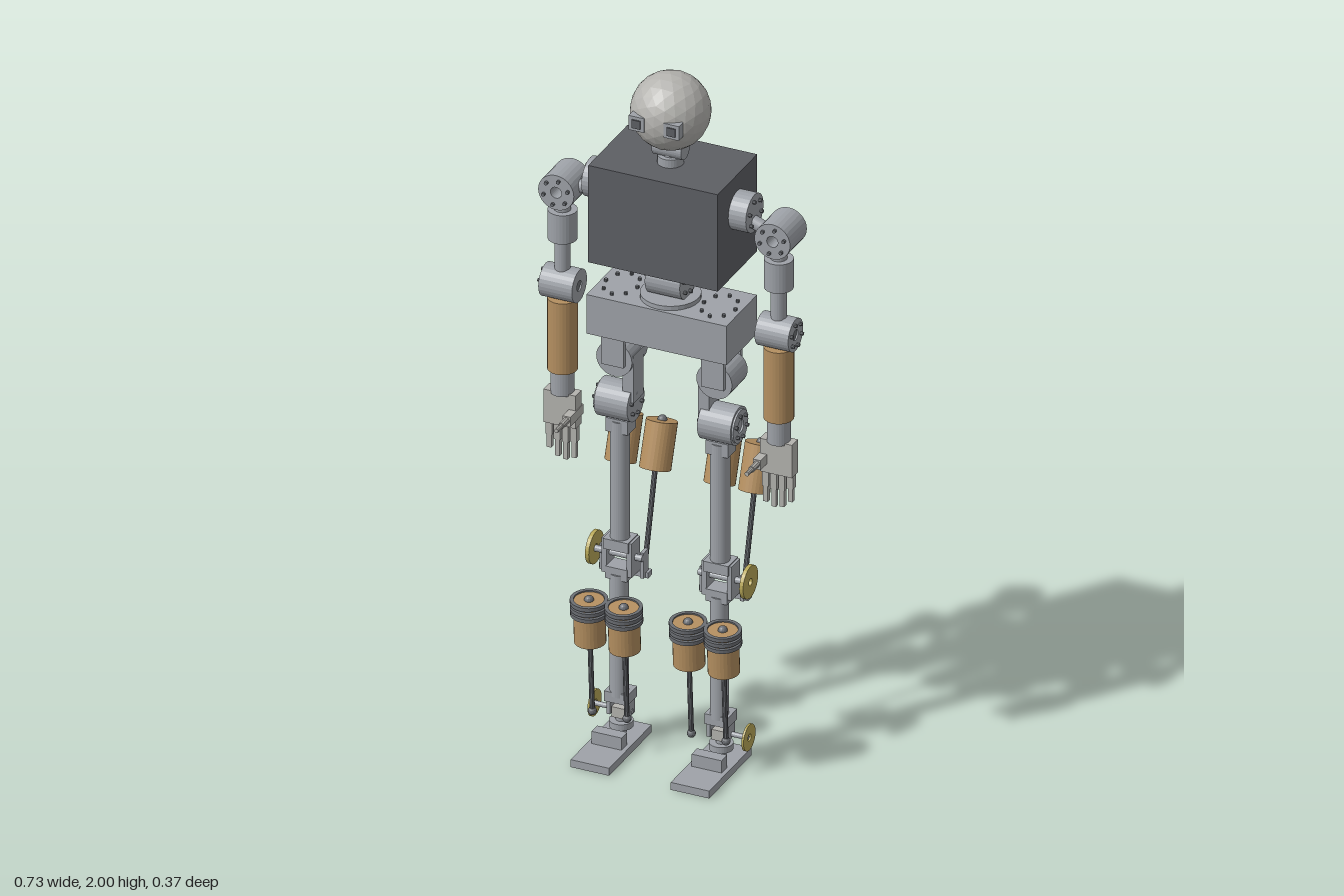
import * as THREE from 'three';

const mat = (color) => new THREE.MeshStandardMaterial({ color, flatShading: true, side: THREE.DoubleSide });
const metal = mat(0x9ea2a8), skin = mat(0xb4b3af), dark = mat(0x5d5f64), steel = mat(0x6b6e73);
const tan = mat(0xb48f60), brass = mat(0xb8a858);
const UP = new THREE.Vector3(0, 1, 0);

export function createModel() {
  const root = new THREE.Group();
  let parent = root;

  const section = (name) => {
    parent = new THREE.Group();
    parent.name = name;
    root.add(parent);
  };
  const add = (name, geo, material, x, y, z) => {
    const m = new THREE.Mesh(geo, material);
    m.name = name;
    m.position.set(x, y, z);
    parent.add(m);
    return m;
  };
  // box from its centre and size
  const box = (name, material, x, y, z, w, h, d) => add(name, new THREE.BoxGeometry(w, h, d), material, x, y, z);
  // solid cylinder between two points
  const rod = (name, material, a, b, r, r2 = r, seg = 28) => {
    const p = new THREE.Vector3(...a), q = new THREE.Vector3(...b), d = q.clone().sub(p);
    const c = p.clone().add(q).multiplyScalar(0.5);
    const m = add(name, new THREE.CylinderGeometry(r2, r, d.length(), seg), material, c.x, c.y, c.z);
    m.quaternion.setFromUnitVectors(UP, d.normalize());
    return m;
  };
  // cylinder with a through hole between two points
  const ring = (name, material, a, b, rIn, rOut) => {
    const p = new THREE.Vector3(...a), q = new THREE.Vector3(...b), d = q.clone().sub(p);
    const c = p.clone().add(q).multiplyScalar(0.5), h = d.length() / 2;
    const pts = [[rIn, -h], [rOut, -h], [rOut, h], [rIn, h], [rIn, -h]].map((v) => new THREE.Vector2(...v));
    const m = add(name, new THREE.LatheGeometry(pts, 28), material, c.x, c.y, c.z);
    m.quaternion.setFromUnitVectors(UP, d.normalize());
    return m;
  };
  // circle of bolts on a motor face whose normal is the x or z axis
  const bolts = (axis, x, y, z, r, dir) => {
    for (let i = 0; i < 6; i++) {
      const u = r * Math.cos(i * Math.PI / 3 + 0.3), v = r * Math.sin(i * Math.PI / 3 + 0.3), t = dir * 0.008;
      if (axis === 'x') rod('bolt', steel, [x, y + v, z + u], [x + t, y + v, z + u], 0.005, 0.005, 8);
      else rod('bolt', steel, [x + u, y + v, z], [x + u, y + v, z + t], 0.005, 0.005, 8);
    }
  };

  // head, eyes and neck
  section('head');
  add('skull', new THREE.IcosahedronGeometry(0.106, 3), skin, 0, 1.894, 0);
  for (const s of [-1, 1]) {
    box('eyeSocket', metal, s * 0.05, 1.892, 0.09, 0.044, 0.042, 0.026);
    box('eye', dark, s * 0.05, 1.892, 0.1, 0.024, 0.024, 0.014);
  }
  rod('neckJoint', metal, [-0.042, 1.787, 0], [0.042, 1.787, 0], 0.028);
  rod('neckPost', metal, [0, 1.755, 0], [0, 1.8, 0], 0.022);
  rod('neckBase', metal, [0, 1.735, 0], [0, 1.765, 0], 0.035);

  // torso, waist and pelvis
  section('trunk');
  box('torso', dark, 0, 1.598, -0.012, 0.37, 0.286, 0.24);
  rod('waistMotor', metal, [-0.05, 1.403, 0], [0.05, 1.403, 0], 0.052);
  box('waistBracket', metal, 0, 1.44, 0, 0.06, 0.04, 0.06);
  rod('waistFlange', metal, [0, 1.342, 0], [0, 1.358, 0], 0.08);
  bolts('x', 0.05, 1.403, 0, 0.035, 1);
  bolts('x', -0.05, 1.403, 0, 0.035, -1);
  box('pelvis', metal, 0, 1.288, -0.006, 0.4, 0.115, 0.186);
  for (const s of [-1, 1]) for (let i = 0; i < 8; i++) {
    const a = i * Math.PI / 4, x = s * 0.14 + 0.045 * Math.cos(a), z = 0.06 * Math.sin(a);
    rod('pelvisBolt', steel, [x, 1.345, z], [x, 1.353, z], 0.005, 0.005, 8);
  }

  for (const s of [1, -1]) {
    const side = s > 0 ? 'left' : 'right';

    // arm
    section(side + 'Arm');
    const ax = s * 0.309;
    rod('shoulderMotor', metal, [s * 0.18, 1.64, -0.01], [s * 0.235, 1.64, -0.01], 0.054);
    bolts('x', s * 0.235, 1.64, -0.01, 0.037, s);
    rod('shoulderAxle', metal, [s * 0.23, 1.615, -0.01], [s * 0.27, 1.6, -0.01], 0.018);
    ring('shoulderRing', metal, [ax, 1.597, -0.062], [ax, 1.597, 0.04], 0.016, 0.051);
    bolts('z', ax, 1.597, 0.04, 0.036, 1);
    rod('upperArmNeck', metal, [ax, 1.52, 0], [ax, 1.555, 0], 0.022);
    rod('upperArmMotor', metal, [ax, 1.445, 0], [ax, 1.53, 0], 0.039);
    rod('upperArmRod', metal, [ax, 1.35, 0], [ax, 1.45, 0], 0.021);
    ring('elbowMotor', metal, [ax - 0.048, 1.313, 0], [ax + 0.048, 1.313, 0], 0.015, 0.046);
    rod('elbowHub', steel, [ax - 0.044, 1.313, 0], [ax + 0.044, 1.313, 0], 0.016);
    bolts('x', ax + s * 0.048, 1.313, 0, 0.032, s);
    rod('forearm', tan, [ax, 1.06, 0], [ax, 1.27, 0], 0.04);
    rod('wrist', metal, [ax, 0.99, 0], [ax, 1.06, 0], 0.031);

    // hand: palm, jointed fingers and a thumb pointing forward
    box('palm', skin, ax, 0.947, 0, 0.092, 0.097, 0.036);
    [0.095, 0.105, 0.1, 0.08].forEach((len, i) => {
      const fx = ax + s * (-0.035 + i * 0.0235);
      box('fingerBase', skin, fx, 0.9 - len * 0.25, 0, 0.018, len * 0.5, 0.018);
      box('fingerTip', skin, fx, 0.9 - len * 0.75, 0, 0.013, len * 0.48, 0.014);
    });
    const tx = s * 0.272;
    box('thumbBase', skin, tx, 0.938, 0.015, 0.022, 0.028, 0.08);
    rod('thumbMiddle', skin, [tx, 0.94, 0.05], [tx, 0.94, 0.088], 0.009, 0.009, 10);
    rod('thumbTip', skin, [tx, 0.94, 0.088], [tx, 0.94, 0.117], 0.007, 0.006, 10);

    // hip motors and brackets
    section(side + 'Leg');
    const lx = s * 0.143;
    box('hipBracket', metal, lx, 1.185, 0.045, 0.064, 0.11, 0.014);
    box('hipBracketRear', metal, lx, 1.19, -0.058, 0.064, 0.1, 0.012);
    rod('hipRollMotor', metal, [lx, 1.145, -0.055], [lx, 1.145, 0.04], 0.051);
    bolts('z', lx, 1.145, -0.064, 0.03, -1);
    box('hipLink', metal, s * 0.108, 1.09, 0, 0.032, 0.14, 0.06);
    rod('hipPitchMotor', metal, [s * 0.1, 1.007, 0], [s * 0.195, 1.007, 0], 0.053);
    ring('hipCap', metal, [s * 0.195, 1.007, 0], [s * 0.2, 1.007, 0], 0.018, 0.046);
    bolts('x', s * 0.2, 1.007, 0, 0.033, s);
    bolts('x', s * 0.1, 1.007, 0, 0.033, -s);

    // thigh
    box('thighMount', metal, lx, 0.938, 0, 0.064, 0.04, 0.05);
    rod('thigh', metal, [lx, 0.59, 0.003], [lx, 0.95, 0.003], 0.026);

    // knee clevis, axle and disc
    box('kneeCap', metal, lx, 0.588, 0.002, 0.072, 0.03, 0.06);
    for (const k of [-1, 1]) {
      box('kneeCheek', metal, lx + k * 0.036, 0.55, 0, 0.014, 0.1, 0.05);
      box('kneeLever', metal, lx + k * 0.058, 0.525, -0.02, 0.01, 0.075, 0.03);
    }
    rod('kneeAxle', metal, [s * 0.08, 0.55, 0], [s * 0.22, 0.55, 0], 0.009, 0.009, 12);
    ring('kneeDisc', brass, [s * 0.215, 0.55, -0.005], [s * 0.226, 0.55, -0.005], 0.01, 0.046);
    box('kneeCrossbar', metal, lx, 0.492, -0.03, 0.14, 0.016, 0.024);
    box('shinTop', metal, lx, 0.503, 0.002, 0.062, 0.035, 0.052);

    // shin and ankle
    rod('shin', metal, [lx, 0.14, 0.008], [lx, 0.5, 0.008], 0.025);
    box('ankleYoke', metal, lx, 0.137, 0, 0.066, 0.03, 0.06);
    for (const k of [-1, 1]) box('ankleCheek', metal, lx + k * 0.026, 0.105, 0, 0.01, 0.05, 0.04);
    box('ankleBlock', skin, lx, 0.088, 0, 0.036, 0.03, 0.036);
    rod('ankleAxle', metal, [s * 0.11, 0.09, -0.003], [s * 0.22, 0.09, -0.003], 0.007, 0.007, 12);
    ring('ankleDisc', brass, [s * 0.217, 0.09, -0.005], [s * 0.223, 0.09, -0.005], 0.01, 0.037);
    rod('anklePost', metal, [lx, 0.02, -0.003], [lx, 0.08, -0.003], 0.014);
    rod('ankleFlange', metal, [lx, 0.042, -0.003], [lx, 0.06, -0.003], 0.032);

    // foot
    box('sole', metal, lx, 0.011, 0.058, 0.11, 0.022, 0.258);
    box('footBlock', metal, lx, 0.04, 0.069, 0.086, 0.036, 0.034);

    // paired linear actuators of thigh and shin
    for (const x of [s * 0.092, s * 0.191]) {
      rod('thighActuator', tan, [x, 0.764, -0.101], [x, 0.886, -0.143], 0.042);
      rod('thighPushRod', steel, [x, 0.49, -0.034], [x, 0.77, -0.103], 0.007, 0.007, 10);
      add('thighActuatorBall', new THREE.SphereGeometry(0.013, 14, 10), steel, x, 0.886, -0.145);
      add('thighRodEnd', new THREE.SphereGeometry(0.012, 12, 8), steel, x, 0.49, -0.034);

      rod('shinActuator', tan, [x, 0.322, 0.083], [x, 0.447, 0.09], 0.042);
      for (let i = 0; i < 3; i++) {
        const y = 0.406 + i * 0.017, z = 0.088 + i * 0.001;
        ring('shinCollar', steel, [x, y, z], [x, y + 0.011, z + 0.0006], 0.04, 0.05);
      }
      rod('shinPushRod', steel, [x, 0.11, 0.07], [x, 0.33, 0.084], 0.007, 0.007, 10);
      add('shinActuatorBall', new THREE.SphereGeometry(0.013, 14, 10), steel, x, 0.447, 0.09);
      add('shinRodEnd', new THREE.SphereGeometry(0.012, 12, 8), steel, x, 0.11, 0.07);
    }
  }
  return root;
}
